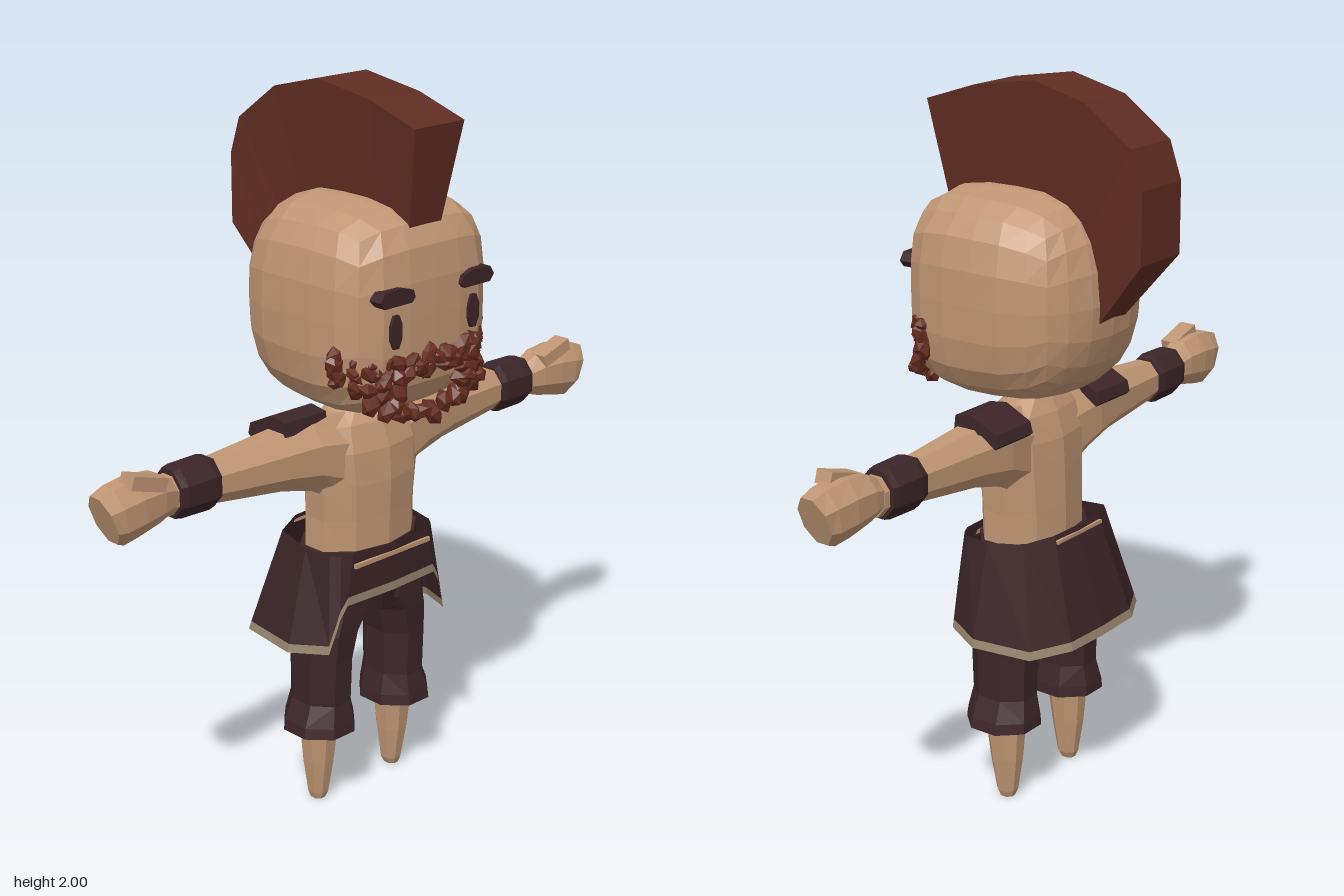
import * as THREE from 'three';
import { mergeGeometries } from 'three/addons/utils/BufferGeometryUtils.js';

const mat = (name, color, extra = {}) =>
  Object.assign(new THREE.MeshStandardMaterial({ color, ...extra }), { name });

// Faceted normals for any geometry
function flat(geo) {
  const g = geo.index ? geo.toNonIndexed() : geo;
  g.deleteAttribute('uv');
  g.computeVertexNormals();
  return g;
}

// Skin through closed rings of [x, y, z] points
function loft(rings, capped = true) {
  const n = rings[0].length, pos = [];
  const tri = (...p) => p.forEach((v) => pos.push(...v));
  for (let i = 0; i < rings.length - 1; i++) {
    for (let j = 0; j < n; j++) {
      const k = (j + 1) % n, a = rings[i][j], b = rings[i][k], c = rings[i + 1][k], d = rings[i + 1][j];
      tri(a, d, c);
      tri(a, c, b);
    }
  }
  if (capped) {
    const s = rings[0], e = rings[rings.length - 1];
    for (let j = 1; j < n - 1; j++) {
      tri(s[0], s[j], s[j + 1]);
      tri(e[0], e[j + 1], e[j]);
    }
  }
  const g = new THREE.BufferGeometry();
  g.setAttribute('position', new THREE.Float32BufferAttribute(pos, 3));
  return flat(g);
}

const around = (n, f) => Array.from({ length: n }, (_, i) => {
  const a = ((i + 0.5) / n) * Math.PI * 2, k = 1 / Math.cos(Math.PI / n);
  return f(Math.cos(a) * k, Math.sin(a) * k);
});
// Upright sections: [y, x0, x1, z0, z1]
const upright = (n, sections) => loft(sections.map(([y, x0, x1, z0, z1]) =>
  around(n, (c, s) => [(x0 + x1) / 2 + (c * (x1 - x0)) / 2, y, (z0 + z1) / 2 + (s * (z1 - z0)) / 2])));
// Sideways sections: [x, yTop, yBottom, z0, z1, slant]
const sideways = (n, sections) => loft(sections.map(([x, y1, y0, z0, z1, slant = 0]) =>
  around(n, (c, s) => [x + s * slant, (y0 + y1) / 2 + (s * (y1 - y0)) / 2, (z0 + z1) / 2 + (c * (z1 - z0)) / 2])));

// Reflected copy across x = 0 with corrected winding
function mirrored(geo) {
  const g = geo.clone().scale(-1, 1, 1), p = g.attributes.position;
  for (let i = 0; i < p.count; i += 3) {
    const b = [p.getX(i + 1), p.getY(i + 1), p.getZ(i + 1)];
    p.setXYZ(i + 1, p.getX(i + 2), p.getY(i + 2), p.getZ(i + 2));
    p.setXYZ(i + 2, ...b);
  }
  g.computeVertexNormals();
  return g;
}

function extrude(points, depth) {
  const shape = new THREE.Shape(points.map(([x, y]) => new THREE.Vector2(x, y)));
  return new THREE.ExtrudeGeometry(shape, { depth, bevelEnabled: false });
}

export function createModel() {
  const group = new THREE.Group();
  const skin = mat('skin', 0xc09674);
  const cloth = mat('dark cloth', 0x3c2528);
  const skirtCloth = mat('skirt cloth', 0x3b2426, { side: THREE.DoubleSide });
  const trim = mat('trim', 0x95846c, { side: THREE.DoubleSide });
  const hair = mat('hair', 0x602d23);
  const beardHair = mat('beard hair', 0x672d20);
  const add = (name, geo, material) => {
    const m = new THREE.Mesh(geo, material);
    m.name = name;
    group.add(m);
  };
  const addPair = (name, geo, material) => {
    add('left' + name, geo, material);
    add('right' + name, mirrored(geo), material);
  };

  // Head: rounded cube, squarer at the face and rounder at the back
  const head = new THREE.BoxGeometry(2, 2, 2, 6, 6, 6);
  const hp = head.attributes.position, v = new THREE.Vector3();
  for (let i = 0; i < hp.count; i++) {
    v.fromBufferAttribute(hp, i);
    const p = 3.2 + 0.9 * (v.z / v.length());
    const r = (Math.abs(v.x) ** p + Math.abs(v.y) ** p + Math.abs(v.z) ** p) ** (-1 / p);
    hp.setXYZ(i, v.x * r * 0.27, 1.44 + v.y * r * 0.28, 0.05 + v.z * r * 0.27);
  }
  add('head', flat(head), skin);

  // Crest of hair, wider along its outer edge
  const outer = [[0.325, 1.92], [0.17, 1.97], [-0.02, 2], [-0.18, 1.96], [-0.32, 1.86], [-0.355, 1.76], [-0.355, 1.57]];
  const inner = [[0.28, 1.66], [0.17, 1.66], [0, 1.66], [-0.1, 1.62], [-0.15, 1.56], [-0.17, 1.48], [-0.2, 1.38]];
  add('crest', loft(outer.map(([z, y], i) => {
    const [iz, iy] = inner[i];
    return [[0.087, y, z], [-0.087, y, z], [-0.056, iy, iz], [0.056, iy, iz]];
  })), hair);

  // Eyes and brows
  const eye = new THREE.CylinderGeometry(1, 1, 0.009, 8).rotateX(Math.PI / 2).rotateZ(Math.PI / 8);
  addPair('Eye', flat(eye.scale(0.021, 0.047, 1).translate(0.14, 1.42, 0.318)), cloth);
  addPair('Brow', flat(extrude([[0.083, 1.502], [0.095, 1.49], [0.19, 1.49], [0.205, 1.508],
    [0.19, 1.53], [0.13, 1.533], [0.09, 1.522]], 0.04).translate(0, 0, 0.29)), cloth);

  // Beard: small chunky tufts round the jaw, leaving the mouth open
  let seed = 7;
  const rand = () => (seed = (seed * 16807) % 2147483647) / 2147483647;
  const tufts = [];
  for (let c = -8; c <= 8; c++) {
    const x = c * 0.0305, t = Math.abs(x) / 0.25;
    const low = 1.175 + 0.12 * t * t, high = 1.33 + 0.03 * t * t;
    for (let r = 0; r <= 5; r++) {
      const y = low + ((high - low) * r) / 5;
      if (Math.abs(x) < 0.1 && y > 1.205 && y < 1.305 - Math.abs(x) * 0.3) continue;
      const z = 0.322 - 0.115 * t ** 3 - 0.7 * Math.max(0, 1.22 - y);
      const tuft = new THREE.IcosahedronGeometry(0.027 + rand() * 0.009, 0).scale(0.8, 1.2, 0.7);
      tuft.rotateX(rand() * 2 - 1).rotateY(rand() * 3).rotateZ(rand() * 2 - 1);
      tufts.push(flat(tuft.translate(x + (rand() - 0.5) * 0.02, y + (rand() - 0.5) * 0.02, z)));
    }
  }
  add('beard', mergeGeometries(tufts), beardHair);

  // Torso and neck
  add('torso', upright(10, [
    [0.72, -0.17, 0.17, -0.06, 0.155], [0.85, -0.168, 0.168, -0.058, 0.158], [0.95, -0.175, 0.175, -0.055, 0.162],
    [1.04, -0.18, 0.18, -0.05, 0.155], [1.11, -0.165, 0.165, -0.03, 0.13], [1.15, -0.09, 0.09, -0.01, 0.1],
    [1.2, -0.06, 0.06, 0, 0.09],
  ]), skin);

  // Arms, wristbands, fists
  addPair('Arm', sideways(8, [
    [0.08, 1.14, 0.88, -0.03, 0.13], [0.2, 1.138, 0.945, -0.04, 0.12], [0.3, 1.125, 0.97, -0.03, 0.11],
    [0.52, 1.108, 0.995, -0.012, 0.087], [0.67, 1.1, 1.0, -0.005, 0.08],
  ]), skin);
  addPair('Wristband', sideways(8, [
    [0.52, 1.115, 0.988, -0.018, 0.09], [0.54, 1.12, 0.984, -0.022, 0.095],
    [0.63, 1.118, 0.986, -0.022, 0.095], [0.65, 1.115, 0.99, -0.016, 0.09],
  ]), cloth);
  addPair('Hand', sideways(8, [
    [0.65, 1.095, 1.01, 0, 0.08], [0.7, 1.122, 0.995, -0.01, 0.095], [0.77, 1.13, 0.98, -0.012, 0.102],
    [0.83, 1.122, 0.972, -0.005, 0.102, 0.012], [0.86, 1.108, 0.978, 0.005, 0.095, 0.025],
  ]), skin);
  addPair('Thumb', flat(new THREE.BoxGeometry(0.11, 0.036, 0.05).rotateZ(0.3).translate(0.75, 1.118, 0.07)), skin);

  // Shoulder pads sloping down over the back
  addPair('ShoulderPad', flat(extrude([[-0.08, 1.118], [0.01, 1.115], [0.055, 1.085], [0.066, 1.095],
    [0.058, 1.125], [-0.02, 1.163], [-0.075, 1.155]], 0.145).rotateY(Math.PI / 2).translate(0.15, 0, 0)), cloth);

  // Trousers with flared cuffs, and bare lower legs
  add('trouserSeat', upright(10, [
    [0.56, -0.17, 0.17, -0.045, 0.13], [0.64, -0.195, 0.195, -0.06, 0.145], [0.765, -0.185, 0.185, -0.07, 0.16],
  ]), cloth);
  addPair('TrouserLeg', upright(8, [
    [0.23, 0.052, 0.24, -0.06, 0.14], [0.26, 0.055, 0.235, -0.058, 0.137], [0.32, 0.068, 0.212, -0.048, 0.127],
    [0.45, 0.066, 0.212, -0.05, 0.132], [0.53, 0.042, 0.215, -0.052, 0.138], [0.58, 0, 0.212, -0.052, 0.14],
    [0.66, 0, 0.2, -0.05, 0.14],
  ]), cloth);
  addPair('LowerLeg', upright(8, [
    [0, 0.127, 0.163, 0.01, 0.052], [0.02, 0.117, 0.17, 0.002, 0.06],
    [0.12, 0.105, 0.183, -0.012, 0.077], [0.25, 0.092, 0.195, -0.022, 0.092],
  ]), skin);

  // Skirt columns from front centre to back centre: [waist point, hem point]
  const half = [
    [[0, 0.772, 0.175], [0, 0.635, 0.18]],
    [[0.14, 0.772, 0.167], [0.165, 0.635, 0.172]],
    [[0.17, 0.772, 0.152], [0.187, 0.6, 0.168]],
    [[0.188, 0.772, 0.128], [0.22, 0.505, 0.158]],
    [[0.202, 0.775, 0.05], [0.27, 0.492, 0.05]],
    [[0.185, 0.79, -0.06], [0.25, 0.495, -0.13]],
    [[0.1, 0.798, -0.1], [0.14, 0.5, -0.19]],
    [[0, 0.8, -0.105], [0, 0.5, -0.195]],
  ];
  const flip = (c) => c.map(([x, y, z]) => [-x, y, z]);
  const columns = [...half.map(flip), ...half.slice(1, -1).reverse()];
  const waist = columns.map((c) => c[0]), hem = columns.map((c) => c[1]);
  const seam = columns.map(([w, h]) => {
    const a = new THREE.Vector3(...w), b = new THREE.Vector3(...h);
    return b.add(a.sub(b).setLength(0.024)).toArray();
  });
  add('skirt', loft([seam, waist], false), skirtCloth);
  add('skirtTrim', loft([hem, seam], false), trim);

  // Slivers of bare skin at the waistband
  add('frontWaistGap', flat(new THREE.BoxGeometry(0.28, 0.012, 0.008).translate(0, 0.742, 0.175)), skin);
  add('backWaistGap', flat(new THREE.BoxGeometry(0.2, 0.01, 0.008).translate(0, 0.78, -0.109)), skin);

  return group;
}
